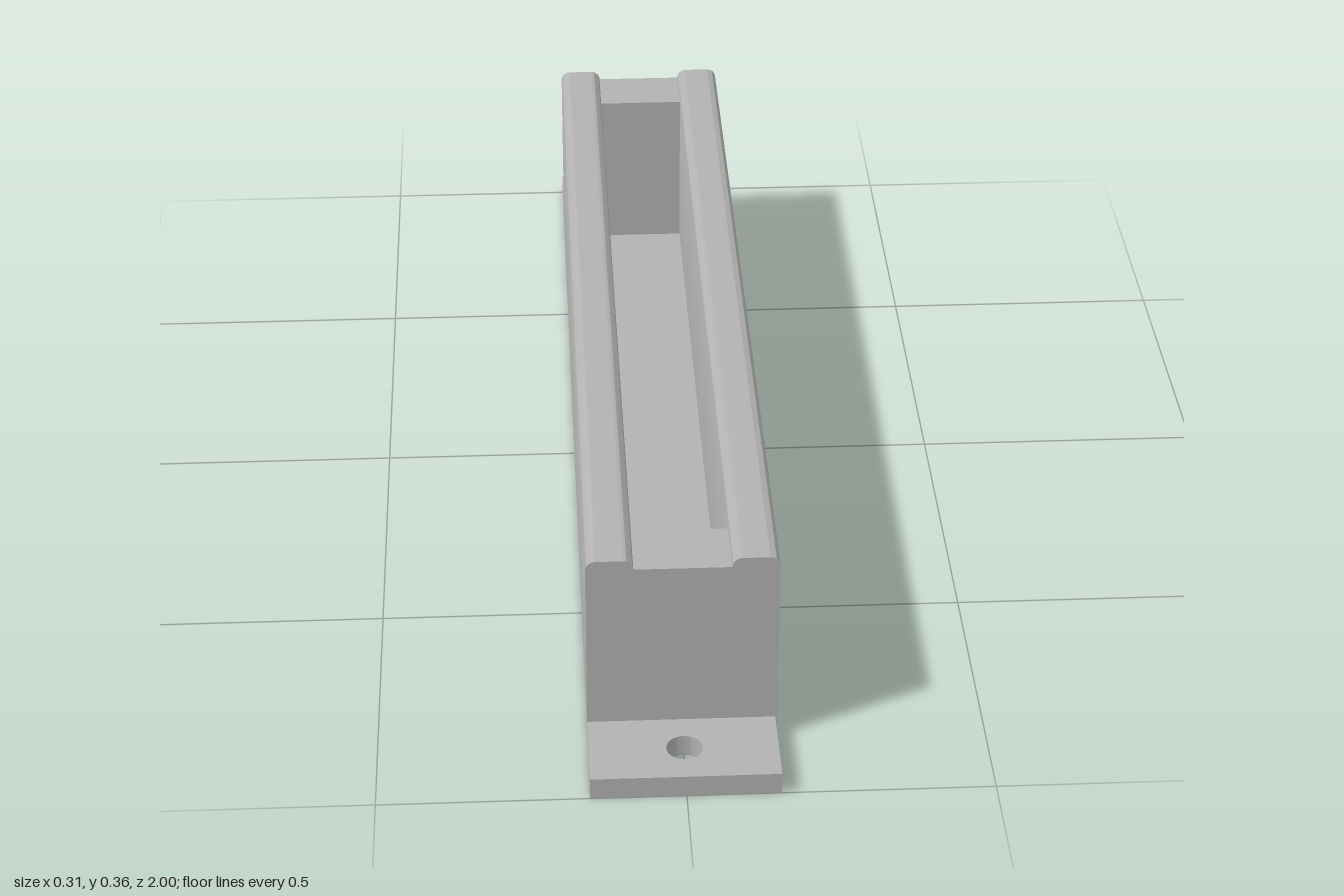
import * as THREE from 'three';
import { toCreasedNormals } from 'three/addons/utils/BufferGeometryUtils.js';

const W = 0.156;      // half width of body
const C = 0.079;      // half width of channel
const H = 0.36;       // top of the side walls
const SILL = 0.343;   // top of the end blocks
const BASE = 0.039;   // floor and tab thickness
const BODY = 0.852;   // half length of body
const CAVITY = 0.745; // half length of cavity
const R = H - SILL;   // rounding of the wall tops

export function createModel() {
  const group = new THREE.Group();
  const grey = new THREE.MeshStandardMaterial({ color: 0xb2b2b2 });
  grey.name = 'grey';

  const add = (name, geometry) => {
    const mesh = new THREE.Mesh(geometry, grey);
    mesh.name = name;
    group.add(mesh);
    return mesh;
  };
  const extrude = (shape, depth) => toCreasedNormals(
    new THREE.ExtrudeGeometry(shape, { depth, bevelEnabled: false, curveSegments: 10 }), 0.6);

  // U-shaped trough with rounded wall tops
  const u = new THREE.Shape();
  u.moveTo(-W, 0);
  u.lineTo(W, 0);
  u.lineTo(W, H - R);
  u.absarc(W - R, H - R, R, 0, Math.PI / 2, false);
  u.lineTo(C + R, H);
  u.absarc(C + R, H - R, R, Math.PI / 2, Math.PI, false);
  u.lineTo(C, BASE);
  u.lineTo(-C, BASE);
  u.lineTo(-C, H - R);
  u.absarc(-C - R, H - R, R, 0, Math.PI / 2, false);
  u.lineTo(-W + R, H);
  u.absarc(-W + R, H - R, R, Math.PI / 2, Math.PI, false);
  u.lineTo(-W, 0);
  add('trough', extrude(u, 2 * BODY)).position.z = -BODY;

  // Mounting tab with a screw hole, laid flat
  const tabLength = 1 - BODY;
  const tab = new THREE.Shape();
  tab.moveTo(-W, -tabLength / 2);
  tab.lineTo(W - 0.003, -tabLength / 2);
  tab.lineTo(W - 0.003, tabLength / 2);
  tab.lineTo(-W, tabLength / 2);
  tab.closePath();
  const hole = new THREE.Path();
  hole.absarc(0, 0, 0.03, 0, Math.PI * 2, true);
  tab.holes.push(hole);
  const tabGeometry = extrude(tab, BASE).rotateX(-Math.PI / 2);

  for (const [end, s] of [['front', 1], ['back', -1]]) {
    // Block closing the channel
    const block = add(end + 'EndBlock',
      new THREE.BoxGeometry(2 * C, SILL - BASE, BODY - CAVITY));
    block.position.set(0, (SILL + BASE) / 2, s * (BODY + CAVITY) / 2);
    add(end + 'MountingTab', tabGeometry).position.z = s * (BODY + tabLength / 2);
  }
  return group;
}
